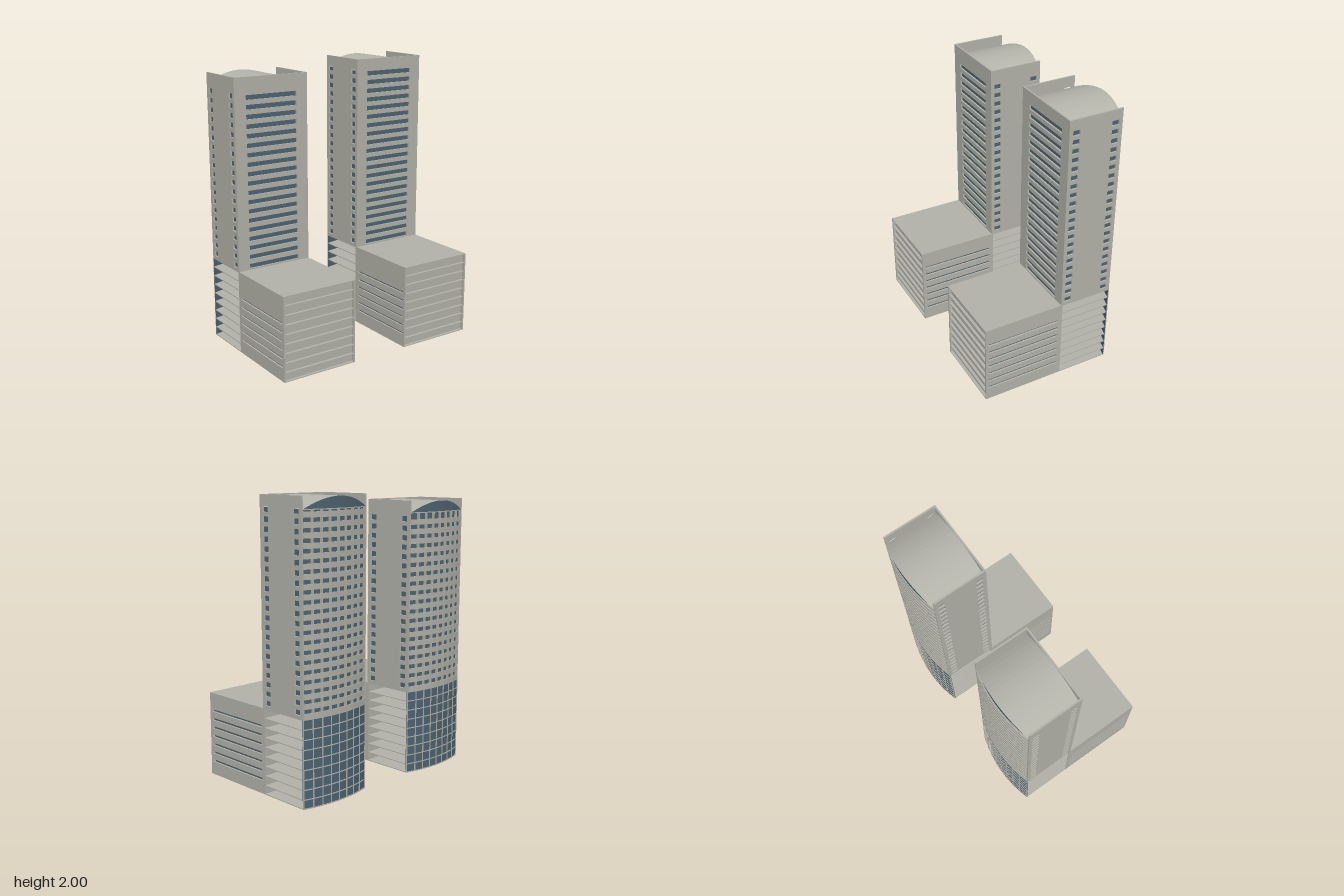
import * as THREE from 'three';

const wallMat = new THREE.MeshStandardMaterial({ color: 0xb3b3aa });
wallMat.name = 'concrete';
const glassMat = new THREE.MeshStandardMaterial({ color: 0x4e6472 });
glassMat.name = 'blue glass';
const roofMat = new THREE.MeshStandardMaterial({ color: 0xb4b4ab, side: THREE.DoubleSide });
roofMat.name = 'vault roof';
const gableMat = new THREE.MeshStandardMaterial({ color: 0x4e6472, side: THREE.DoubleSide });
gableMat.name = 'gable glass';

const W = 0.392;   // tower width
const D = 0.284;   // half depth
const L = 0.583;   // podium length
const T = 0.012;   // wall thickness
const BASE = 0.6;  // podium height
const BULGE = 0.042;
const STEPS = 16;

// x of the bowed facade at depth z
const bow = (z, inset = 0) => -W + inset - BULGE * (1 - (z / D) ** 2);

function add(parent, geometry, material, name, x = 0, y = 0, z = 0, ry = 0) {
  const mesh = new THREE.Mesh(geometry, material);
  mesh.name = name;
  mesh.position.set(x, y, z);
  mesh.rotation.y = ry;
  parent.add(mesh);
  return mesh;
}

function block(parent, material, name, x0, x1, y0, y1, z0, z1) {
  return add(parent, new THREE.BoxGeometry(x1 - x0, y1 - y0, z1 - z0), material, name,
    (x0 + x1) / 2, (y0 + y1) / 2, (z0 + z1) / 2);
}

// points along the bow, from back to front
function bowPoints(inset, hz) {
  return Array.from({ length: STEPS + 1 }, (_, i) => {
    const z = -hz + (2 * hz * i) / STEPS;
    return new THREE.Vector2(bow(z, inset), z);
  });
}

// plan outline raised to a height
function raise(points, height) {
  const g = new THREE.ExtrudeGeometry(new THREE.Shape(points), { depth: height, bevelEnabled: false });
  return g.rotateX(-Math.PI / 2);
}
const footprint = (inset, x1, hz, h) =>
  raise([...bowPoints(inset, hz), new THREE.Vector2(x1, hz), new THREE.Vector2(x1, -hz)], h);
const bowBand = (in0, in1, hz, h) =>
  raise([...bowPoints(in0, hz), ...bowPoints(in1, hz).reverse()], h);

// wall centred on x, with rectangular openings [x0, x1, y0, y1]
function wallPanel(w, y0, y1, openings) {
  const rect = (path, a, b, c, d) => path.moveTo(a, c).lineTo(b, c).lineTo(b, d).lineTo(a, d).lineTo(a, c);
  const shape = rect(new THREE.Shape(), -w / 2, w / 2, y0, y1);
  for (const o of openings) shape.holes.push(rect(new THREE.Path(), ...o));
  return new THREE.ExtrudeGeometry(shape, { depth: T, bevelEnabled: false });
}

// faceted strip following the bow; place(t, z) gives x and y
function bowStrip(hz, place) {
  const g = new THREE.PlaneGeometry(1, 1, 1, STEPS);
  const p = g.attributes.position;
  for (let i = 0; i < p.count; i++) {
    const z = -2 * hz * p.getY(i);
    const [x, y] = place(p.getX(i) + 0.5, z);
    p.setXYZ(i, x, y, z);
  }
  const flat = g.toNonIndexed();
  flat.computeVertexNormals();
  return flat;
}

function buildTower(height, rows, pitch) {
  const tower = new THREE.Group();
  tower.name = 'tower';
  const inner = D - T;
  const eaves = height - 0.08;

  // end walls with two columns of small windows
  const small = [], wide = [];
  for (let i = 0; i < rows; i++) {
    const y = 0.622 + i * pitch;
    small.push([-0.17, -0.118, y, y + 0.036], [0.118, 0.17, y, y + 0.036]);
    wide.push([-0.197, 0.197, y - 0.012, y + 0.021]);
  }
  const endWall = wallPanel(W, BASE, height, small);
  add(tower, endWall, wallMat, 'frontWall', -W / 2, 0, inner);
  add(tower, endWall, wallMat, 'backWall', -W / 2, 0, -inner, Math.PI);
  // long wall with ribbon windows
  add(tower, wallPanel(2 * D, 0, height, wide), wallMat, 'ribbonWall', -T, 0, 0, Math.PI / 2);
  // glazed core behind all openings
  add(tower, footprint(0.022, -T, inner, eaves - BASE), glassMat, 'glassCore', 0, BASE, 0);

  // bowed balconies with dividing piers
  const parapet = bowBand(0, 0.006, inner, 0.036);
  const deck = bowBand(0, 0.024, inner, 0.005);
  for (let y = BASE; y < eaves - 0.03; y += pitch) {
    add(tower, parapet, wallMat, 'balconyParapet', 0, y, 0);
    add(tower, deck, wallMat, 'balconyDeck', 0, y, 0);
  }
  for (let i = 1; i < 8; i++) {
    const z = -inner + (2 * inner * i) / 8;
    const x = bow(z);
    block(tower, wallMat, 'balconyPier', x + 0.004, x + 0.024, BASE, eaves, z - 0.004, z + 0.004);
  }

  // barrel vault between the parapets, with a glazed gable
  add(tower, footprint(0, -T, inner, 0.006), wallMat, 'eavesSlab', 0, eaves - 0.006, 0);
  const vaultY = z => eaves + 0.075 * (1 - (z / inner) ** 2);
  add(tower, bowStrip(inner, (t, z) => [THREE.MathUtils.lerp(bow(z), -T, t), vaultY(z)]), roofMat, 'vaultRoof');
  add(tower, bowStrip(inner, (t, z) => [bow(z, 0.004), THREE.MathUtils.lerp(eaves, vaultY(z), t)]), gableMat, 'gable');
  return tower;
}

function buildBase() {
  const base = new THREE.Group();
  base.name = 'towerBase';
  // open floors
  const slab = footprint(0, -T, D, 0.006);
  for (let i = 0; i <= 9; i++) {
    add(base, slab, wallMat, 'floorSlab', 0, i === 0 ? 0 : (i * BASE) / 9 - 0.006, 0);
  }
  // bowed curtain wall and mullions
  add(base, bowBand(0.004, 0.008, D, BASE - 0.008), glassMat, 'curtainWall', 0, 0.004, 0);
  for (let i = 0; i <= 8; i++) {
    const z = (D - 0.003) * (i / 4 - 1);
    const x = bow(z);
    block(base, wallMat, 'mullion', x - 0.001, x + 0.006, 0, BASE, z - 0.003, z + 0.003);
  }
  return base;
}

function buildPodium() {
  const podium = new THREE.Group();
  podium.name = 'podium';
  const slits = (n, h) => Array.from({ length: n }, (_, i) => {
    const y = 0.102 + i * 0.0617;
    return [-0.272, 0.272, y - h / 2, y + h / 2];
  });
  // long walls with slit windows
  add(podium, wallPanel(L, 0, BASE, slits(6, 0.014)), wallMat, 'podiumFrontWall', L / 2, 0, D - T);
  add(podium, wallPanel(L, 0, BASE, slits(7, 0.018)), wallMat, 'podiumBackWall', L / 2, 0, -D + T, Math.PI);
  for (const s of [-1, 1]) {
    const z = s * (D - T - 0.003);
    block(podium, glassMat, 'podiumGlass', 0.005, L - 0.03, 0.02, BASE - 0.02, z - 0.003, z + 0.003);
  }
  // recessed end wall between projecting floor edges
  block(podium, wallMat, 'podiumEndWall', L - 0.03, L - 0.02, 0, BASE, -D + T, D - T);
  for (let i = 0; i <= 9; i++) {
    const y = i === 0 ? 0 : (i * BASE) / 9 - 0.006;
    block(podium, wallMat, 'podiumSlab', 0, L, y, y + 0.006, -D + T, D - T);
  }
  return podium;
}

export function createModel() {
  const model = new THREE.Group();
  model.name = 'twinTowers';
  const sites = [
    { name: 'frontBuilding', x: -0.1365, z: 0.485, height: 1.94, rows: 19, pitch: 0.0653 },
    { name: 'backBuilding', x: -0.0385, z: -0.51, height: 2, rows: 21, pitch: 0.0634 },
  ];
  for (const s of sites) {
    const building = new THREE.Group();
    building.name = s.name;
    building.add(buildTower(s.height, s.rows, s.pitch), buildBase(), buildPodium());
    building.position.set(s.x, 0, s.z);
    building.rotation.y = -0.1;
    model.add(building);
  }
  return model;
}
